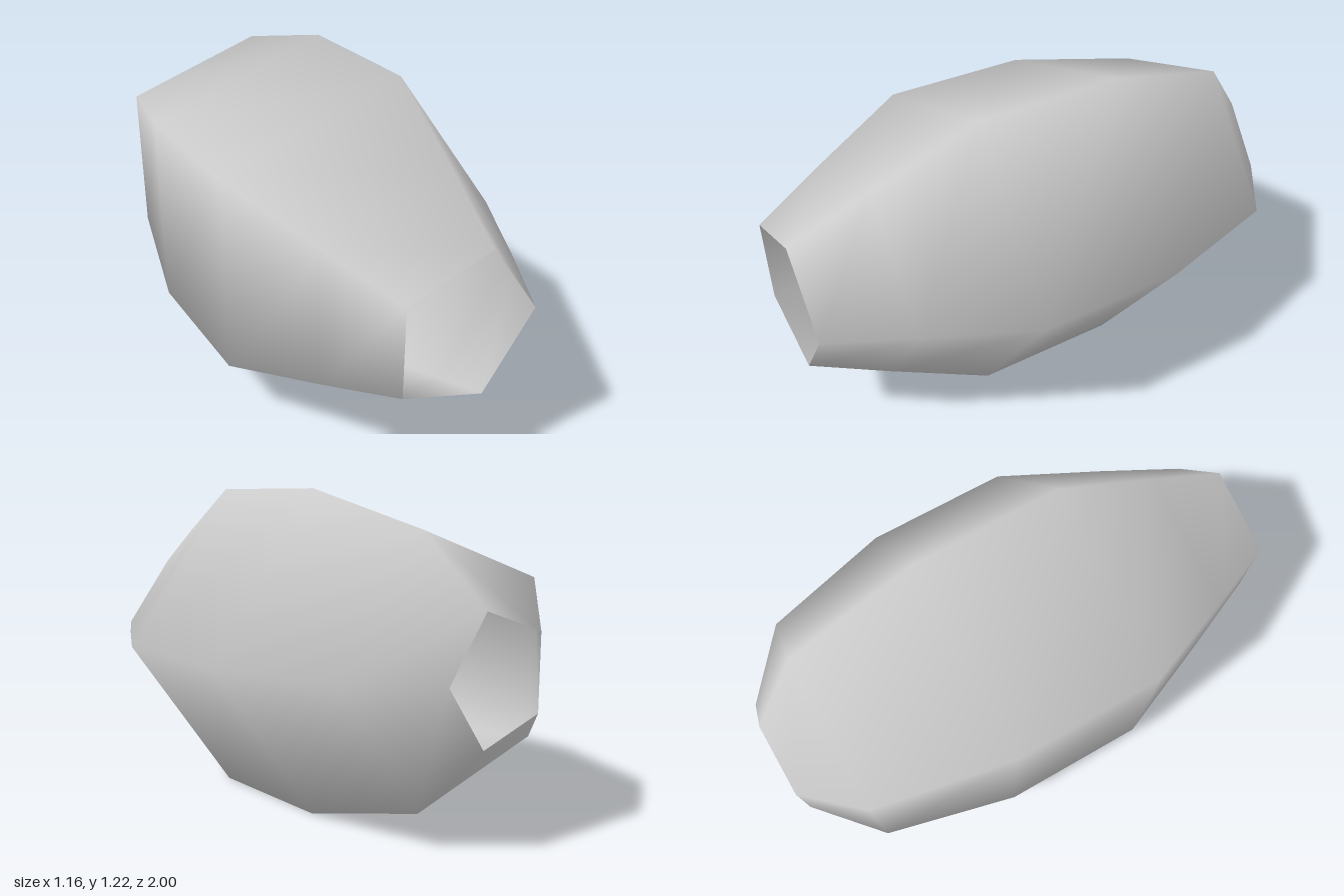
import * as THREE from 'three';

// Five-sided open barrel, smoothly shaded, lying along z.
export function createModel() {
  const model = new THREE.Group();
  model.name = 'openBarrel';

  const lightGrey = new THREE.MeshStandardMaterial({ color: 0xcccccc, side: THREE.DoubleSide });
  lightGrey.name = 'lightGrey';

  // Profile from the back rim to the front rim: [radius, z]
  const profile = [
    [0.237, -1], [0.5, -0.79], [0.641, -0.27],
    [0.641, 0.31], [0.447, 0.7], [0.29, 1],
  ].map(([r, z]) => new THREE.Vector2(r, z));

  // One corner of the pentagon points to +x
  const geometry = new THREE.LatheGeometry(profile, 5, Math.PI / 2);
  geometry.rotateX(Math.PI / 2);

  const shell = new THREE.Mesh(geometry, lightGrey);
  shell.name = 'shell';
  shell.position.set(-0.061, 0.61, 0);
  model.add(shell);

  return model;
}
